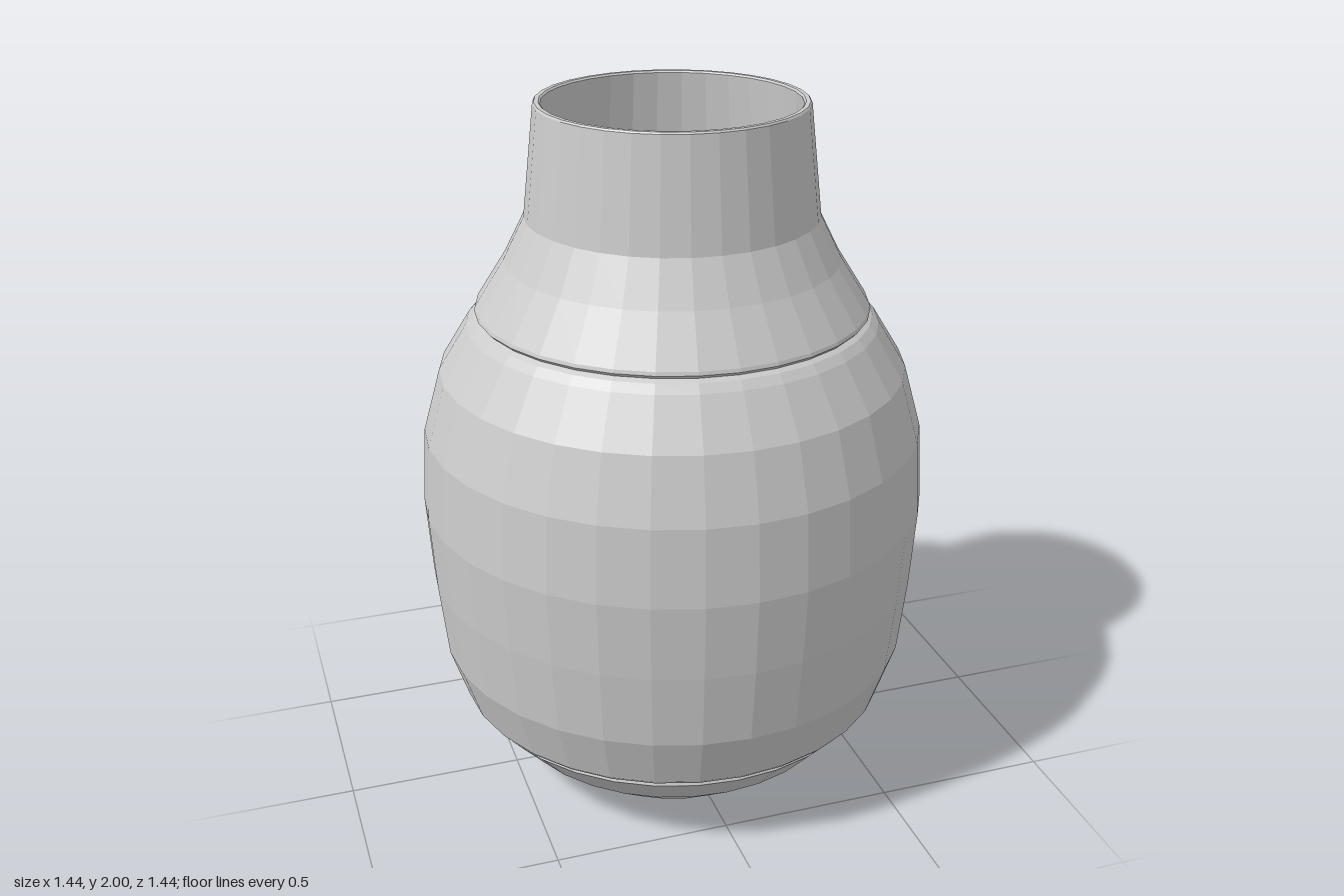
import * as THREE from 'three';

const SIDES = 32;

// Turns a list of [radius, height] points into a faceted ring of surfaces.
function turned(name, profile) {
  const points = profile.map(([r, y]) => new THREE.Vector2(r, y));
  const material = new THREE.MeshStandardMaterial({
    color: 0xcccccc, flatShading: true, side: THREE.DoubleSide,
  });
  const mesh = new THREE.Mesh(new THREE.LatheGeometry(points, SIDES), material);
  mesh.name = name;
  return mesh;
}

export function createModel() {
  const vase = new THREE.Group();
  vase.name = 'vase';

  // Foot: recessed underside, standing ring, flared wall and the ledge below the groove
  vase.add(turned('foot', [
    [0, 0.045], [0.295, 0.045], [0.3, 0], [0.35, 0],
    [0.505, 0.12], [0.6, 0.228], [0.597, 0.236], [0.585, 0.238], [0.585, 0.25],
  ]));

  // Body: from the lower groove to the chamfered shoulder
  vase.add(turned('body', [
    [0.585, 0.25], [0.62, 0.252], [0.632, 0.265], [0.683, 0.42], [0.706, 0.64],
    [0.72, 0.86], [0.706, 1.08], [0.655, 1.26], [0.575, 1.39], [0.555, 1.412], [0.54, 1.42],
  ]));

  // Neck: thin lip over the shoulder, sweep inward, tall collar and rim
  vase.add(turned('neck', [
    [0.54, 1.42], [0.55, 1.43], [0.547, 1.44], [0.465, 1.57],
    [0.405, 1.69], [0.371, 1.995], [0.367, 2], [0.355, 2], [0.35, 1.995],
  ]));

  // Hollow inside, down to the flat floor
  vase.add(turned('innerWall', [
    [0.35, 1.995], [0.383, 1.69], [0.443, 1.56], [0.55, 1.385], [0.632, 1.25],
    [0.684, 1.075], [0.698, 0.86], [0.684, 0.64], [0.661, 0.425], [0.605, 0.27],
    [0.57, 0.23], [0.485, 0.135], [0.39, 0.07], [0, 0.07],
  ]));

  return vase;
}
